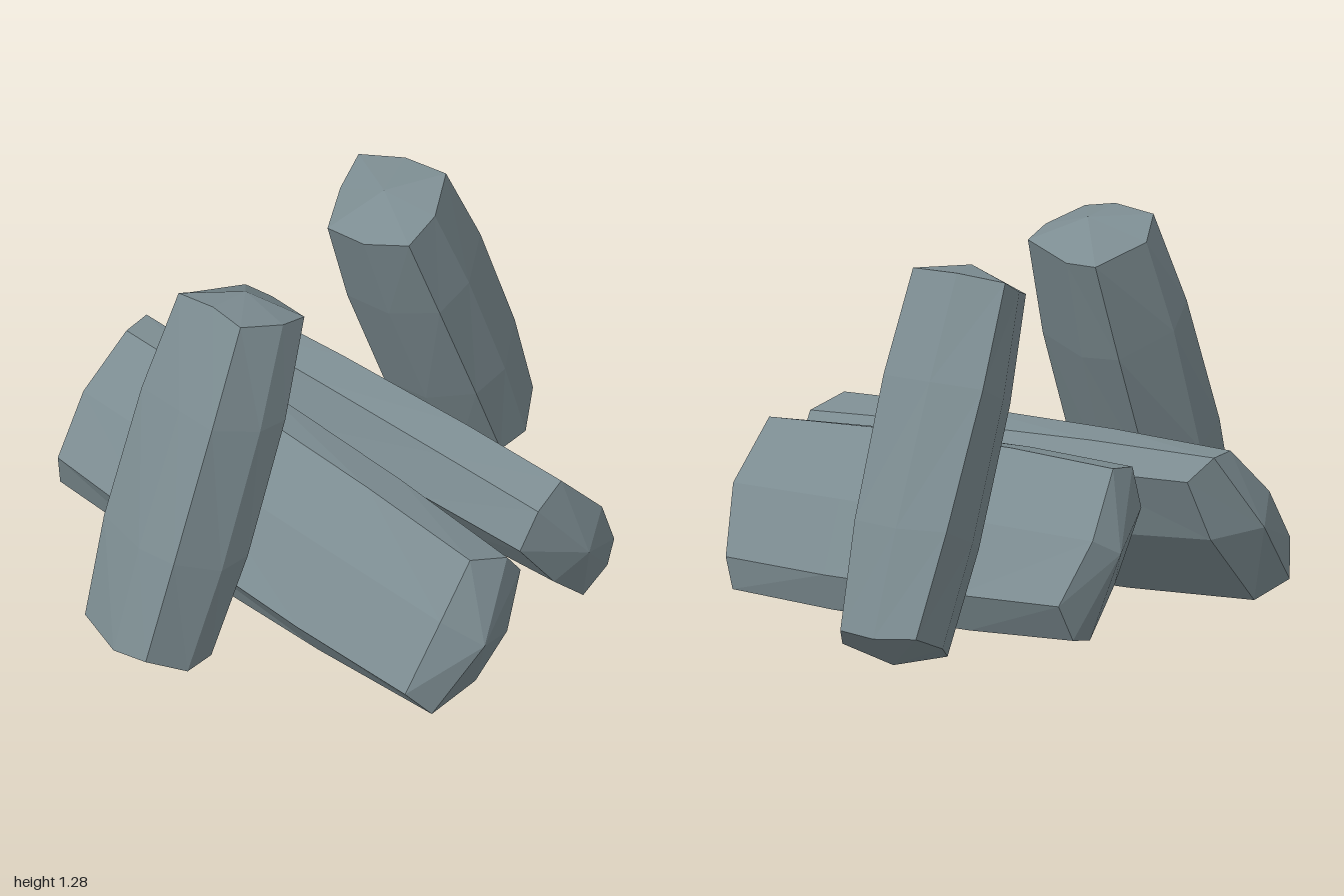
import * as THREE from 'three';

const stone = new THREE.MeshStandardMaterial({ color: 0x7c8c91 });
stone.name = 'blue grey stone';
stone.flatShading = true;
const V = (p) => new THREE.Vector3(...p);

// A rough-hewn stone: two end rings, bulging rings between them, and a blunt point on each end
function makeStone(name, ringA, tipA, ringB, tipB, bulge) {
  const a = ringA.map(V), b = ringB.map(V), n = a.length;
  const rings = [0, 0.3, 0.7, 1].map((t, k) => {
    const ring = a.map((p, i) => p.clone().lerp(b[i], t));
    const mid = ring.reduce((s, p) => s.add(p), new THREE.Vector3()).divideScalar(n);
    const scale = k === 0 || k === 3 ? 1 : bulge;
    return ring.map((p) => p.sub(mid).multiplyScalar(scale).add(mid));
  });
  const center = V(tipA).lerp(V(tipB), 0.5);
  const pos = [];
  // Each triangle is turned to face away from the stone's centre
  const tri = (p, q, r) => {
    const normal = q.clone().sub(p).cross(r.clone().sub(p));
    const out = p.clone().add(q).add(r).divideScalar(3).sub(center);
    const order = normal.dot(out) > 0 ? [p, q, r] : [p, r, q];
    order.forEach((v) => pos.push(v.x, v.y, v.z));
  };
  for (let i = 0; i < n; i++) {
    const j = (i + 1) % n;
    tri(V(tipA), rings[0][i], rings[0][j]);
    tri(V(tipB), rings[3][i], rings[3][j]);
    for (let k = 0; k < 3; k++) {
      tri(rings[k][i], rings[k][j], rings[k + 1][j]);
      tri(rings[k][i], rings[k + 1][j], rings[k + 1][i]);
    }
  }
  const geometry = new THREE.BufferGeometry();
  geometry.setAttribute('position', new THREE.Float32BufferAttribute(pos, 3));
  geometry.computeVertexNormals();
  const mesh = new THREE.Mesh(geometry, stone);
  mesh.name = name;
  return mesh;
}

export function createModel() {
  const group = new THREE.Group();
  group.name = 'stonePile';

  // Upright stones leaning towards the middle, top ring first
  group.add(makeStone('frontLeaningStone',
    [[-0.28, 1.27, 0.5], [-0.13, 1.285, 0.51], [-0.01, 1.26, 0.52], [0.06, 1.22, 0.38],
      [0.065, 1.19, 0.27], [-0.12, 1.15, 0.2], [-0.23, 1.15, 0.2], [-0.31, 1.2, 0.4]],
    [-0.11, 1.27, 0.36],
    [[-0.35, 0.17, 0.92], [-0.18, 0.14, 0.99], [-0.04, 0.16, 1.0], [0.02, 0.06, 0.85],
      [0.02, 0.05, 0.72], [-0.1, 0.02, 0.67], [-0.25, 0.04, 0.68], [-0.35, 0.12, 0.78]],
    [-0.13, 0.0, 0.8], 1.14));
  group.add(makeStone('backLeaningStone',
    [[-0.275, 1.26, -0.48], [-0.12, 1.285, -0.53], [0.04, 1.285, -0.54], [0.1, 1.22, -0.4],
      [0.09, 1.17, -0.27], [-0.05, 1.15, -0.21], [-0.2, 1.15, -0.21], [-0.26, 1.2, -0.36]],
    [-0.08, 1.27, -0.36],
    [[-0.215, 0.15, -0.97], [-0.07, 0.14, -1.0], [0.06, 0.15, -0.99], [0.12, 0.07, -0.87],
      [0.1, 0.05, -0.76], [-0.02, 0.02, -0.68], [-0.17, 0.02, -0.68], [-0.22, 0.08, -0.8]],
    [-0.05, 0.01, -0.83], 1.14));

  // Long stones lying across the middle, right end first
  group.add(makeStone('frontLyingStone',
    [[-0.74, 0.55, -0.085], [-0.81, 0.63, -0.03], [-0.81, 0.63, 0.08], [-0.86, 0.46, 0.25],
      [-0.86, 0.27, 0.39], [-0.88, 0.14, 0.35], [-0.82, 0.09, 0.22], [-0.78, 0.34, 0.0]],
    [-0.91, 0.37, 0.13],
    [[0.85, 0.42, 0.13], [0.855, 0.52, 0.21], [0.8, 0.56, 0.34], [0.79, 0.39, 0.49],
      [0.75, 0.16, 0.63], [0.8, 0.055, 0.55], [0.8, 0.05, 0.31], [0.84, 0.2, 0.19]],
    [0.905, 0.29, 0.4], 1.06));
  group.add(makeStone('backLyingStone',
    [[-0.58, 0.45, -0.11], [-0.575, 0.6, -0.16], [-0.57, 0.62, -0.28], [-0.6, 0.42, -0.47],
      [-0.545, 0.22, -0.6], [-0.56, 0.09, -0.53], [-0.55, 0.06, -0.4], [-0.56, 0.22, -0.25]],
    [-0.65, 0.36, -0.37],
    [[0.78, 0.41, 0.04], [0.81, 0.55, -0.02], [0.8, 0.59, -0.16], [0.84, 0.4, -0.33],
      [0.8, 0.18, -0.45], [0.78, 0.07, -0.44], [0.8, 0.05, -0.28], [0.8, 0.2, -0.12]],
    [0.885, 0.31, -0.2], 1.06));

  return group;
}
